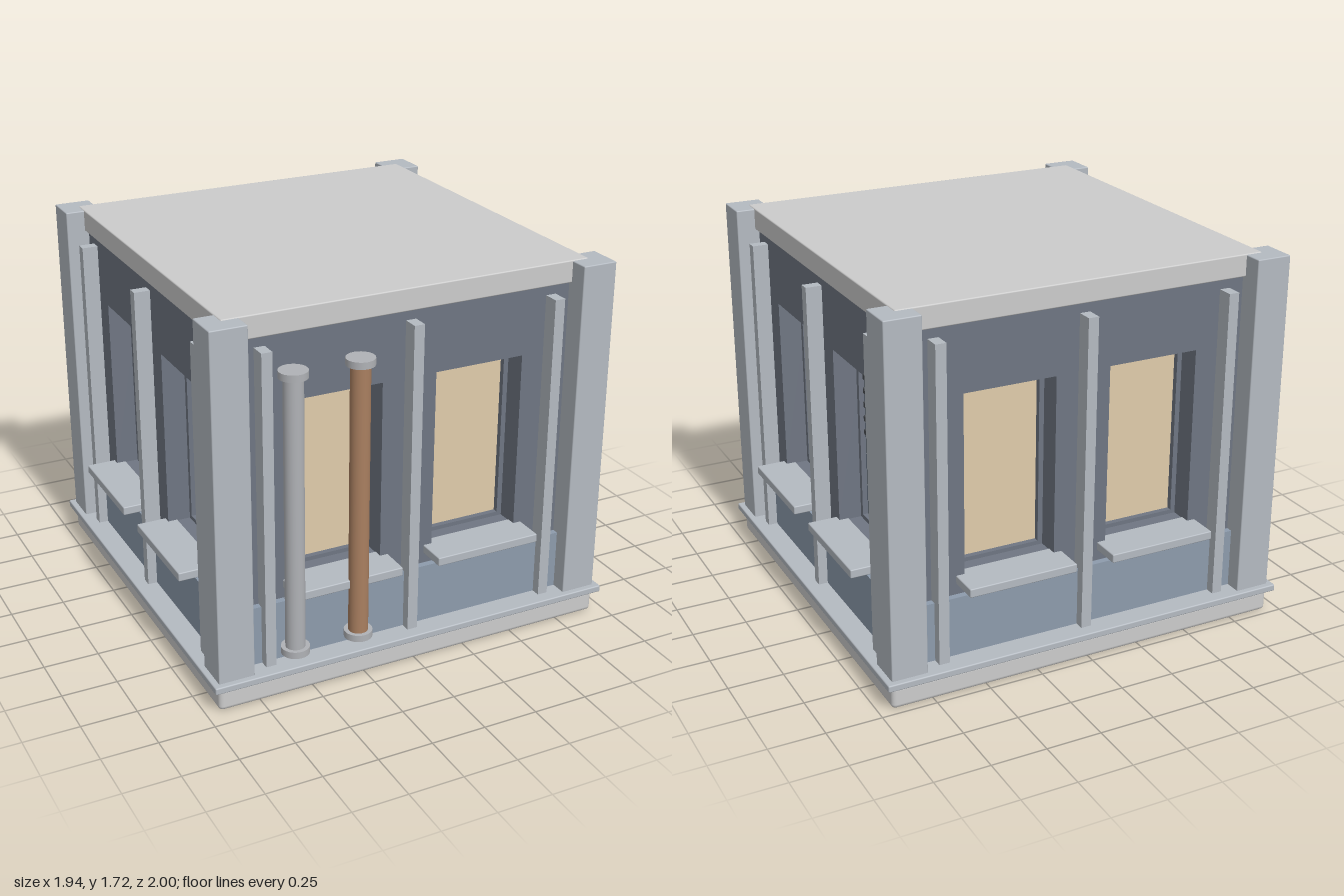
import * as THREE from 'three';
import { RoundedBoxGeometry } from 'three/addons/geometries/RoundedBoxGeometry.js';

const mat = (color) => new THREE.MeshStandardMaterial({ color });
const M = {
  stone: mat(0xcccccc), trim: mat(0xb4bac1), wall: mat(0x6f7682), panel: mat(0x8d9bac),
  lit: mat(0xdfcbaa), dark: mat(0x3f4d5c), vent: mat(0x4c5055), copper: mat(0xa97f60), steel: mat(0xb0b2b6),
};

function add(parent, name, geometry, material, x = 0, y = 0, z = 0) {
  const mesh = new THREE.Mesh(geometry, material);
  mesh.name = name;
  mesh.position.set(x, y, z);
  parent.add(mesh);
  return mesh;
}

// Box given by its centre in x and its lower/upper limits in y and z
function slab(parent, name, material, x, width, y0, y1, z0, z1, radius = 0) {
  const size = [width, y1 - y0, z1 - z0];
  const geometry = radius ? new RoundedBoxGeometry(...size, 2, radius) : new THREE.BoxGeometry(...size);
  return add(parent, name, geometry, material, x, (y0 + y1) / 2, (z0 + z1) / 2);
}

function rect(Type, x0, x1, y0, y1) {
  const p = new Type();
  p.moveTo(x0, y0);
  p.lineTo(x1, y0);
  p.lineTo(x1, y1);
  p.lineTo(x0, y1);
  p.closePath();
  return p;
}

const extrude = (shape, depth) => new THREE.ExtrudeGeometry(shape, { depth, bevelEnabled: false });

const FACE = 0.835, BACK = 0.69, WIN = 0.341;
const OPEN = { w: 0.213, y0: 0.493, y1: 1.312 };
const GLASS = { w: 0.19, y0: 0.512, y1: 1.287 };

// One facade facing +z; glass lists the materials of its two windows
function facade(name, glass) {
  const g = new THREE.Group();
  g.name = name;

  const outline = rect(THREE.Shape, -FACE, FACE, 0.13, 1.65);
  for (const x of [-WIN, WIN]) outline.holes.push(rect(THREE.Path, x - OPEN.w, x + OPEN.w, OPEN.y0, OPEN.y1));
  add(g, 'wall', extrude(outline, FACE - BACK), M.wall, 0, 0, BACK);
  slab(g, 'lowerPanel', M.panel, 0, 1.6, 0.13, 0.41, 0.8, 0.865);

  [-WIN, WIN].forEach((x, i) => {
    const ring = rect(THREE.Shape, -OPEN.w, OPEN.w, OPEN.y0, OPEN.y1);
    ring.holes.push(rect(THREE.Path, -GLASS.w, GLASS.w, GLASS.y0, GLASS.y1));
    add(g, 'windowFrame', extrude(ring, 0.035), M.wall, x, 0, BACK + 0.005);
    slab(g, 'windowPane', glass[i], x, 0.42, 0.5, 1.3, BACK, BACK + 0.015);
    slab(g, 'windowSill', M.trim, x, 0.505, 0.457, 0.497, 0.79, 0.971, 0.005);
  });

  for (const x of [-0.685, 0, 0.685]) slab(g, 'pilaster', M.trim, x, 0.048, 0.13, 1.57, 0.8, 0.908);
  return g;
}

function pipe(name, material, x) {
  const g = new THREE.Group();
  g.name = name;
  add(g, 'pipeTube', new THREE.CylinderGeometry(0.043, 0.043, 1.24, 24), material, 0, 0.863, 0);
  for (const y of [0.235, 1.49]) {
    add(g, 'pipeCollar', new THREE.CylinderGeometry(0.062, 0.062, 0.031, 24), M.steel, 0, y, 0);
  }
  g.position.set(x, 0, 0.967);
  return g;
}

export function createModel() {
  const model = new THREE.Group();
  model.name = 'buildingModule';
  const body = new THREE.Group();
  body.name = 'building';
  body.position.z = -0.029;
  model.add(body);

  // Plinth, ledge and roof
  slab(body, 'plinth', M.stone, 0, 1.88, 0, 0.104, -0.94, 0.94, 0.02);
  slab(body, 'ledge', M.trim, 0, 1.934, 0.104, 0.136, -0.967, 0.967, 0.006);
  slab(body, 'roof', M.stone, 0, 1.708, 1.615, 1.716, -0.854, 0.854, 0.006);

  // Corner posts
  for (const x of [-1, 1]) {
    for (const z of [-1, 1]) {
      slab(body, 'cornerPost', M.trim, x * 0.858, 0.164, 0.13, 1.712, z * 0.858 - 0.082, z * 0.858 + 0.082, 0.005);
    }
  }

  // Four facades in quarter turns: front, +x side, back, -x side
  const sides = [
    ['frontFacade', [M.lit, M.lit]],
    ['leftFacade', [M.lit, M.dark]],
    ['backFacade', [M.lit, M.lit]],
    ['rightFacade', [M.dark, M.lit]],
  ];
  sides.forEach(([name, glass], i) => {
    const side = facade(name, glass);
    side.rotation.y = i * Math.PI / 2;
    body.add(side);
    // Vent louvres near the rear corner of the +x side
    if (i === 1) {
      for (let k = 0; k < 5; k++) {
        const y = 1.133 + k * 0.0605;
        slab(side, 'ventBar', M.vent, 0.706, 0.165, y - 0.014, y + 0.014, 0.82, 0.903, 0.006);
      }
    }
  });

  // Vertical pipes on the front
  body.add(pipe('steelPipe', M.steel, -0.6), pipe('copperPipe', M.copper, -0.302));
  return model;
}
